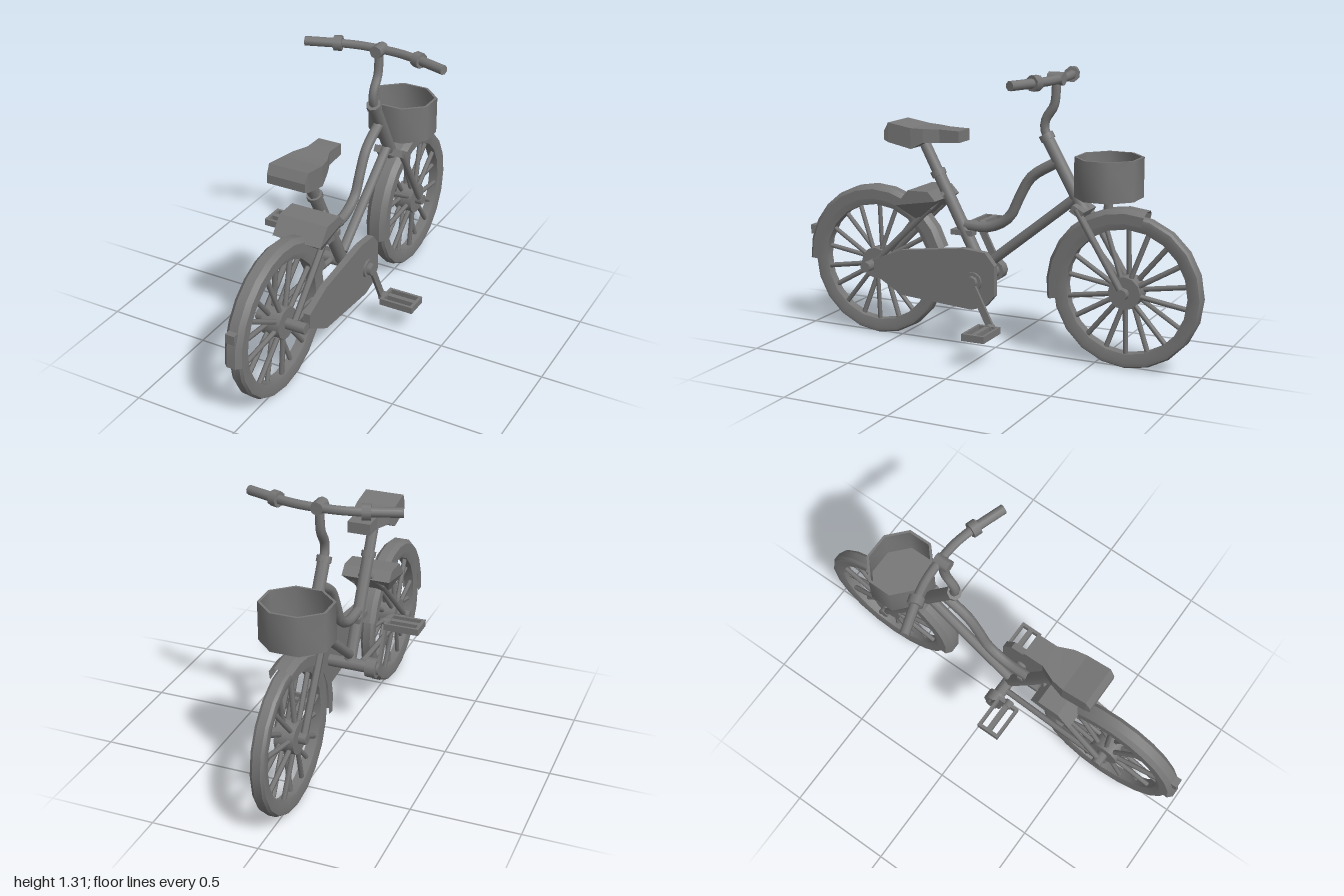
import * as THREE from 'three';
import { toCreasedNormals } from 'three/addons/utils/BufferGeometryUtils.js';

const mat = new THREE.MeshStandardMaterial({ color: 0x777777 });
const thin = new THREE.MeshStandardMaterial({ color: 0x777777, side: THREE.DoubleSide });
const V = (x, y, z) => new THREE.Vector3(x, y, z);
const rad = THREE.MathUtils.degToRad;

function add(parent, name, geo, material = mat) {
  const m = new THREE.Mesh(geo, material);
  m.name = name;
  parent.add(m);
  return m;
}

// Straight closed rod between two points
function rod(parent, name, a, b, r, sides = 8) {
  const m = add(parent, name, new THREE.CylinderGeometry(r, r, a.distanceTo(b), sides));
  m.position.copy(a).add(b).multiplyScalar(0.5);
  m.quaternion.setFromUnitVectors(V(0, 1, 0), b.clone().sub(a).normalize());
}

// Bent tube through points
function bent(parent, name, pts, r, segs = 14) {
  add(parent, name, new THREE.TubeGeometry(new THREE.CatmullRomCurve3(pts), segs, r, 8), thin);
}

// Side outline of [z, y] points extruded along x; half(y) gives the half width
function slab(parent, name, pts, half, x = 0) {
  const shape = new THREE.Shape(pts.map(p => new THREE.Vector2(...p)));
  const geo = new THREE.ExtrudeGeometry(shape, { depth: 2, bevelEnabled: false });
  geo.translate(0, 0, -1).rotateY(-Math.PI / 2);
  const p = geo.attributes.position;
  for (let i = 0; i < p.count; i++) p.setX(i, x + p.getX(i) * half(p.getY(i)));
  geo.computeVertexNormals();
  add(parent, name, geo);
}

// Box lofted through sections [z, half width, bottom, top], from back to front
function loft(parent, name, sections) {
  const n = sections.length - 1;
  const geo = new THREE.BoxGeometry(2, 1, n, 1, 1, n);
  const p = geo.attributes.position;
  for (let i = 0; i < p.count; i++) {
    const [z, half, bottom, top] = sections[Math.round(n / 2 - p.getZ(i))];
    p.setXYZ(i, p.getX(i) * half, p.getY(i) > 0 ? top : bottom, z);
  }
  add(parent, name, toCreasedNormals(geo, 0.1));
}

// Profile of [radius, x] points turned about the x axis; angle runs from +z to +y
function turned(pts, segs, start = 0, length = 360) {
  const prof = pts.map(p => new THREE.Vector2(...p));
  return toCreasedNormals(new THREE.LatheGeometry(prof, segs, rad(start), rad(length)).rotateZ(Math.PI / 2), 0.5);
}

function wheel(name, z, axleMin, axleMax) {
  const g = new THREE.Group();
  g.name = name;
  g.position.set(0, 0.353, z);
  add(g, 'tyre', turned([[0.285, -0.024], [0.325, -0.034], [0.342, -0.031], [0.35, -0.018], [0.35, 0.018],
    [0.342, 0.031], [0.325, 0.034], [0.285, 0.024], [0.285, -0.024]], 20));
  for (let i = 0; i < 18; i++) {
    const a = (i + 0.5) / 18 * Math.PI * 2, s = (i % 2 ? 1 : -1);
    rod(g, 'spoke', V(s * 0.022, Math.sin(a) * 0.06, Math.cos(a) * 0.06),
      V(s * 0.006, Math.sin(a) * 0.295, Math.cos(a) * 0.295), 0.012, 6);
  }
  rod(g, 'hub', V(-0.045, 0, 0), V(0.045, 0, 0), 0.075, 12);
  rod(g, 'axle', V(axleMin, 0, 0), V(axleMax, 0, 0), 0.026);
  return g;
}

function fender(parent, name, z, w, start, length, segs) {
  const m = add(parent, name, turned([[0.315, -w], [0.36, -w], [0.38, -w * 0.5], [0.38, w * 0.5],
    [0.36, w], [0.315, w]], segs, start, length), thin);
  m.position.set(0, 0.353, z);
}

// Crank with pedal; side is +1 or -1, armX and pedalX are distances from the middle
function pedalArm(side, bracket, armX, pedalX) {
  const g = new THREE.Group();
  g.name = side > 0 ? 'leftCrank' : 'rightCrank';
  const end = bracket.clone().add(V(0, -side * 0.2, -side * 0.102));
  // flat arm
  const arm = add(g, 'crankArm', new THREE.BoxGeometry(0.014, 0.245, 0.034));
  arm.position.copy(bracket).add(end).multiplyScalar(0.5).setX(side * armX);
  arm.rotation.x = Math.atan2(0.102, 0.2);
  rod(g, 'pedalSpindle', V(side * (armX - 0.008), end.y, end.z), V(side * (pedalX - 0.065), end.y, end.z), 0.022);
  // pedal frame with two slots
  const rect = (T, x0, x1, y0, y1) => new T([[x0, y0], [x1, y0], [x1, y1], [x0, y1]].map(p => new THREE.Vector2(...p)));
  const shape = rect(THREE.Shape, -0.085, 0.085, -0.056, 0.056);
  shape.holes.push(rect(THREE.Path, -0.07, 0.07, 0.012, 0.043), rect(THREE.Path, -0.07, 0.07, -0.043, -0.012));
  const geo = new THREE.ExtrudeGeometry(shape, { depth: 0.032, bevelEnabled: false });
  const pedal = add(g, 'pedal', geo.translate(0, 0, -0.016).rotateX(Math.PI / 2));
  pedal.position.set(side * pedalX, end.y, end.z);
  return g;
}

export function createModel() {
  const bike = new THREE.Group();
  bike.name = 'bicycle';
  const rearHub = V(0, 0.353, 0.62), frontHub = V(0, 0.353, -0.648), bracket = V(0, 0.348, 0.05);

  // Wheels and mudguards
  bike.add(wheel('rearWheel', rearHub.z, -0.105, 0.14), wheel('frontWheel', frontHub.z, -0.08, 0.08));
  fender(bike, 'rearFender', rearHub.z, 0.042, -2, 165, 11);
  fender(bike, 'frontFender', frontHub.z, 0.052, -10, 114, 8);
  const reflector = add(bike, 'rearReflector', new THREE.BoxGeometry(0.045, 0.045, 0.03));
  reflector.position.set(0, 0.48, 0.982);

  // Frame tubes
  rod(bike, 'seatTube', bracket, V(0, 0.81, 0.293), 0.03);
  rod(bike, 'seatPost', V(0, 0.8, 0.288), V(0, 0.99, 0.388), 0.027);
  rod(bike, 'seatCollar', V(0, 0.8, 0.288), V(0, 0.825, 0.301), 0.037);
  rod(bike, 'downTube', V(0, 0.4, 0.045), V(0, 0.755, -0.4), 0.024);
  bent(bike, 'topTube', [V(0, 0.578, 0.16), V(0, 0.58, 0.03), V(0, 0.635, -0.07), V(0, 0.73, -0.12),
    V(0, 0.83, -0.18), V(0, 0.91, -0.31)], 0.025, 16);
  add(bike, 'fenderBracket', new THREE.BoxGeometry(0.05, 0.025, 0.11)).position.set(0, 0.543, 0.165);
  for (const s of [-1, 1]) {
    rod(bike, 'seatStay', V(s * 0.075, rearHub.y, rearHub.z), V(s * 0.068, 0.66, 0.3), 0.015, 6);
    rod(bike, 'seatStayTop', V(s * 0.068, 0.655, 0.305), V(0, 0.745, 0.24), 0.015, 6);
    rod(bike, 'chainStay', V(s * 0.07, rearHub.y, rearHub.z), V(s * 0.05, 0.35, 0.05), 0.015, 6);
  }

  // Steering: head tube, fork, stem
  rod(bike, 'headTube', V(0, 0.69, -0.44), V(0, 1.025, -0.25), 0.03);
  rod(bike, 'headCap', V(0, 1.005, -0.262), V(0, 1.03, -0.248), 0.036);
  const crown = add(bike, 'forkCrown', new THREE.BoxGeometry(0.15, 0.035, 0.06));
  crown.position.set(0, 0.705, -0.43);
  crown.rotation.x = -0.52;
  for (const s of [-1, 1]) rod(bike, 'forkLeg', V(s * 0.062, frontHub.y, frontHub.z), V(s * 0.062, 0.715, -0.425), 0.017, 6);
  bent(bike, 'stem', [V(0, 1.01, -0.26), V(0, 1.06, -0.243), V(0, 1.1, -0.25), V(0, 1.16, -0.288),
    V(0, 1.22, -0.297), V(0, 1.29, -0.297)], 0.022);

  // Handlebar with clamps and grips
  bent(bike, 'handlebar', [[-0.35, -0.238], [-0.2, -0.288], [-0.1, -0.31], [0, -0.315], [0.1, -0.31], [0.2, -0.288], [0.35, -0.238]]
    .map(([x, z]) => V(x, 1.279, z)), 0.021, 18);
  rod(bike, 'stemClamp', V(0, 1.28, -0.335), V(0, 1.28, -0.262), 0.03);
  for (const s of [-1, 1]) {
    rod(bike, 'grip', V(s * 0.2, 1.279, -0.288), V(s * 0.353, 1.279, -0.236), 0.022);
    rod(bike, 'barCollar', V(s * 0.187, 1.279, -0.292), V(s * 0.224, 1.279, -0.28), 0.036);
  }

  // Saddle: thick wide back, narrow flat nose
  loft(bike, 'saddle', [[0.532, 0.092, 0.965, 1.005], [0.508, 0.095, 0.955, 1.047], [0.39, 0.095, 0.931, 1.028],
    [0.33, 0.085, 0.962, 1.026], [0.26, 0.055, 0.963, 1.025], [0.16, 0.055, 0.968, 1.022]]);

  // Carrier pod over the rear wheel, tapering downwards
  slab(bike, 'rearCarrier', [[0.46, 0.665], [0.395, 0.74], [0.29, 0.742], [0.25, 0.7], [0.365, 0.595]],
    y => (y > 0.65 ? 0.12 : 0.075));

  // Octagonal open basket on its post
  const c = Math.cos(Math.PI / 8), basket = new THREE.LatheGeometry([[0, 0], [0.155, 0], [0.155, 0.18],
    [0.143, 0.18], [0.143, 0.014], [0, 0.014]].map(([r, y]) => new THREE.Vector2(r / c, y)), 8, Math.PI / 8);
  const b = add(bike, 'basket', toCreasedNormals(basket.scale(1, 1, 0.9), 0.95), thin);
  b.position.set(0, 0.77, -0.553);
  rod(bike, 'basketPost', V(0, 0.69, -0.552), V(0, 0.775, -0.552), 0.022);

  // Chain guard, bottom bracket, cranks
  slab(bike, 'chainGuard', [[0.575, 0.325], [0.575, 0.395], [0.43, 0.455], [0.105, 0.497], [-0.01, 0.487], [-0.057, 0.43],
    [-0.057, 0.29], [-0.01, 0.235], [0.06, 0.213], [0.43, 0.24]], () => 0.016, 0.116);
  rod(bike, 'bottomBracket', V(-0.152, 0.348, 0.05), V(0.165, 0.348, 0.05), 0.03);
  rod(bike, 'bracketCup', V(-0.14, 0.348, 0.05), V(-0.09, 0.348, 0.05), 0.048, 10);
  rod(bike, 'guardBoss', V(0.11, 0.348, 0.05), V(0.143, 0.348, 0.05), 0.045, 10);
  bike.add(pedalArm(1, bracket, 0.157, 0.259), pedalArm(-1, bracket, 0.146, 0.235));
  return bike;
}
